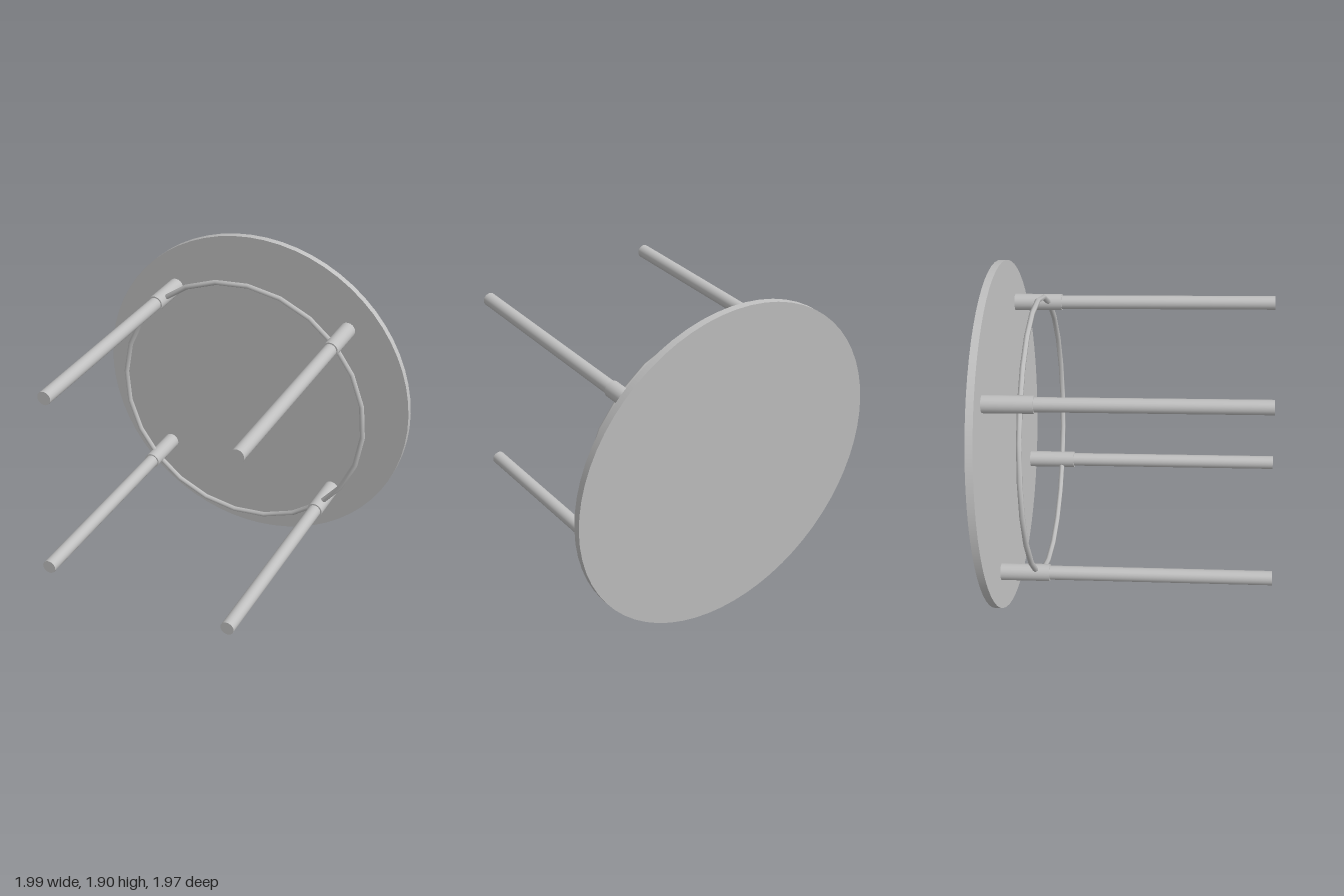
import * as THREE from 'three';

export function createModel() {
  const model = new THREE.Group();
  const grey = new THREE.MeshStandardMaterial({ color: 0xc0c0c0 });
  grey.name = 'light grey';

  // Table in its own upright frame, origin at the centre of the top
  const table = new THREE.Group();
  table.name = 'roundTable';
  const add = (name, geometry, parent = table) => {
    const mesh = new THREE.Mesh(geometry, grey);
    mesh.name = name;
    parent.add(mesh);
    return mesh;
  };

  const thickness = 0.04;
  const under = -thickness / 2;
  const footY = -1.469;
  const sleeveEnd = -0.283;
  const half = 0.535;

  add('tableTop', new THREE.CylinderGeometry(0.952, 0.952, thickness, 64));

  // Four legs, each with a thicker sleeve below the top
  for (const sx of [-1, 1]) {
    for (const sz of [-1, 1]) {
      const leg = new THREE.Group();
      leg.name = 'leg';
      leg.position.set(sx * half, 0, sz * half);
      table.add(leg);
      add('legPole', new THREE.CylinderGeometry(0.038, 0.038, under - footY, 20), leg)
        .position.y = (under + footY) / 2;
      add('legSleeve', new THREE.CylinderGeometry(0.046, 0.046, under - sleeveEnd, 20), leg)
        .position.y = (under + sleeveEnd) / 2;
    }
  }

  // Bracing ring that joins the sleeves
  const ring = add('braceRing', new THREE.TorusGeometry(0.752, 0.015, 6, 24));
  ring.rotation.x = Math.PI / 2;
  ring.position.y = -0.21;

  // Tip the table on its side, legs towards the front
  const legDir = new THREE.Vector3(-0.374, 0.0504, 0.926).normalize();
  const side = new THREE.Vector3(0.0447, 0.998, -0.037).cross(legDir).normalize();
  const up = legDir.clone().negate();
  const basis = new THREE.Matrix4().makeBasis(side, up, side.clone().cross(up));
  table.quaternion.setFromRotationMatrix(basis);
  table.position.set(0.108, 0.952, -0.605);

  model.add(table);
  return model;
}
